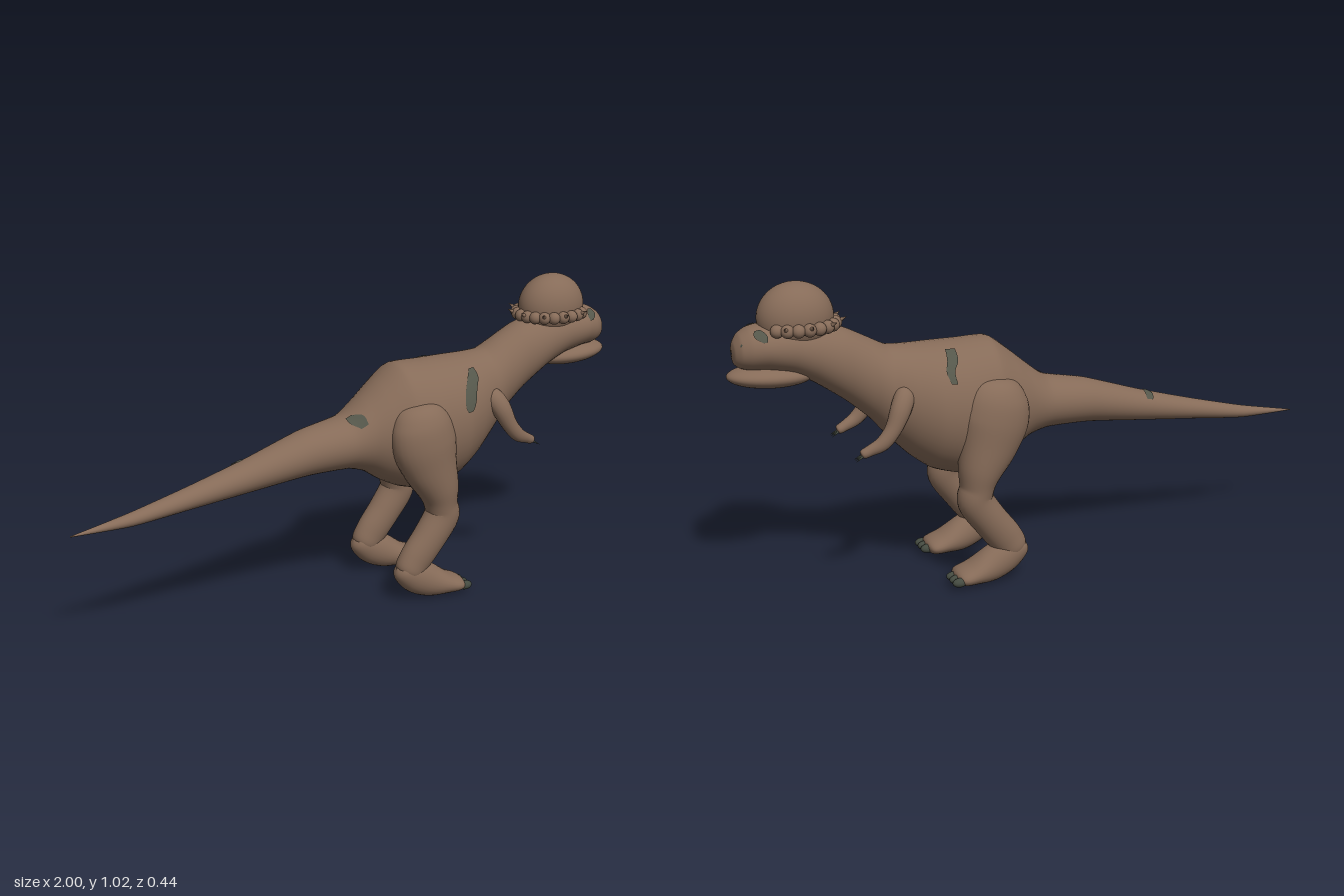
import * as THREE from 'three';

const skin = new THREE.MeshStandardMaterial({ color: 0x866b58 });
skin.name = 'brownSkin';
const marking = new THREE.MeshStandardMaterial({ color: 0x54564a, side: THREE.DoubleSide });
marking.name = 'darkGreenMarking';
const horn = new THREE.MeshStandardMaterial({ color: 0x444a40 });
horn.name = 'darkClaw';

// Smooth sampler over rows of up to five numbers
function sampler(rows, tension = 0.5) {
  const curve = (i) => new THREE.CatmullRomCurve3(
    rows.map((r) => new THREE.Vector3(r[i] ?? 0, r[i + 1] ?? 0, r[i + 2] ?? 0)), false, 'catmullrom', tension);
  const a = curve(0), b = curve(3);
  return (t) => {
    const p = a.getPoint(t), q = b.getPoint(t);
    return [p.x, p.y, p.z, q.x, q.y];
  };
}

// Surface from a grid of points; rings wrap around when closed
function gridGeometry(rows, closed) {
  const n = rows[0].length, index = [];
  for (let i = 0; i < rows.length - 1; i++) {
    for (let j = 0; j < (closed ? n : n - 1); j++) {
      const a = i * n + j, b = i * n + (j + 1) % n;
      index.push(a, b, b + n, a, b + n, a + n);
    }
  }
  const g = new THREE.BufferGeometry().setFromPoints(rows.flat());
  g.setIndex(index);
  g.computeVertexNormals();
  return g;
}

// Elliptical tube; rows are [x, y, z, radius in the xy plane, radius in z]
function loft(rows, { upright = false, tension = 0.5, sides = 28, steps = 6 } = {}) {
  const at = sampler(rows, tension), count = (rows.length - 1) * steps, rings = [];
  for (let i = 0; i <= count; i++) {
    const t = i / count, [x, y, z, r, rz] = at(t);
    const p = at(Math.max(0, t - 0.02)), q = at(Math.min(1, t + 0.02));
    const dir = upright ? new THREE.Vector2(1, 0) : new THREE.Vector2(q[0] - p[0], q[1] - p[1]).normalize();
    rings.push(Array.from({ length: sides }, (_, j) => {
      const a = j / sides * Math.PI * 2, c = Math.max(r, 0.0005) * Math.cos(a);
      return new THREE.Vector3(x - dir.y * c, y + dir.x * c, z + Math.max(rz, 0.0005) * Math.sin(a));
    }));
  }
  return gridGeometry(rings, true);
}

function add(parent, name, geometry, material, position = [0, 0, 0], scale = [1, 1, 1]) {
  const m = new THREE.Mesh(geometry, material);
  m.name = name;
  m.position.set(...position);
  m.scale.set(...scale);
  parent.add(m);
  return m;
}

// Tail, trunk, neck and head: [x, top, bottom, half width]
const bodyRows = [
  [-1, 0.415, 0.412, 0.001], [-0.8, 0.453, 0.41, 0.025], [-0.6, 0.502, 0.43, 0.04],
  [-0.4, 0.557, 0.45, 0.057], [-0.2, 0.62, 0.47, 0.08], [-0.05, 0.65, 0.47, 0.098],
  [0.02, 0.70, 0.45, 0.115], [0.08, 0.75, 0.41, 0.14], [0.15, 0.80, 0.375, 0.165],
  [0.25, 0.80, 0.352, 0.178], [0.35, 0.80, 0.38, 0.172], [0.42, 0.80, 0.43, 0.148],
  [0.49, 0.805, 0.50, 0.118], [0.55, 0.835, 0.57, 0.10], [0.63, 0.875, 0.64, 0.092],
  [0.73, 0.90, 0.71, 0.092], [0.80, 0.91, 0.745, 0.093], [0.88, 0.91, 0.765, 0.092],
  [0.925, 0.902, 0.768, 0.08], [0.955, 0.884, 0.776, 0.062], [0.972, 0.858, 0.79, 0.036],
  [0.977, 0.83, 0.82, 0.001],
].map(([x, top, bottom, w]) => [x, (top + bottom) / 2, 0, (top - bottom) / 2, w]);

const bodyAt = sampler(bodyRows, 0.3);

// Point just above the body at x, with the angle measured from the back towards +z
function bodyPoint(x, angle) {
  let lo = 0, hi = 1;
  for (let i = 0; i < 24; i++) {
    const mid = (lo + hi) / 2;
    if (bodyAt(mid)[0] < x) lo = mid; else hi = mid;
  }
  const [, y, , r, rz] = bodyAt(lo);
  return new THREE.Vector3(x, y + (r + 0.004) * Math.cos(angle), (rz + 0.004) * Math.sin(angle));
}

// Skin marking; rows are [angle, centre x, half length]
function addMarking(parent, name, rows) {
  const at = sampler(rows), grid = [];
  for (let i = 0; i <= 20; i++) {
    const [a, x, w] = at(i / 20);
    grid.push([-1, -0.5, 0, 0.5, 1].map((k) => bodyPoint(x + k * w, a)));
  }
  add(parent, name, gridGeometry(grid, false), marking);
}

function addLeg(parent, s) {
  const leg = new THREE.Group();
  leg.name = s > 0 ? 'nearLeg' : 'farLeg';
  // Thigh and shin
  add(leg, 'legLimb', loft([
    [0.165, 0.70, s * 0.11, 0.001, 0.001], [0.167, 0.68, s * 0.118, 0.07, 0.055],
    [0.172, 0.63, s * 0.132, 0.105, 0.074], [0.178, 0.56, s * 0.14, 0.115, 0.078],
    [0.20, 0.48, s * 0.142, 0.098, 0.075], [0.23, 0.40, s * 0.143, 0.074, 0.071],
    [0.243, 0.34, s * 0.146, 0.056, 0.06], [0.247, 0.295, s * 0.147, 0.06, 0.057],
    [0.20, 0.225, s * 0.147, 0.058, 0.053], [0.145, 0.155, s * 0.146, 0.057, 0.047],
    [0.115, 0.11, s * 0.146, 0.045, 0.04], [0.105, 0.095, s * 0.146, 0.001, 0.001],
  ]), skin);
  // Foot
  add(leg, 'foot', loft([
    [0.075, 0.135, s * 0.146, 0.001, 0.001], [0.09, 0.125, s * 0.146, 0.035, 0.035],
    [0.14, 0.10, s * 0.146, 0.058, 0.047], [0.20, 0.07, s * 0.146, 0.056, 0.056],
    [0.26, 0.052, s * 0.147, 0.038, 0.063], [0.31, 0.043, s * 0.147, 0.024, 0.057],
    [0.325, 0.04, s * 0.147, 0.001, 0.001],
  ]), skin);
  // Toe claws
  for (const z of [0.129, 0.16, 0.19]) {
    add(leg, 'toeClaw', new THREE.SphereGeometry(1, 16, 12), horn, [0.32, 0.04, s * z], [0.025, 0.015, 0.016]);
  }
  parent.add(leg);
}

function addArm(parent, s) {
  const arm = new THREE.Group();
  arm.name = s > 0 ? 'nearArm' : 'farArm';
  add(arm, 'armLimb', loft([
    [0.445, 0.70, s * 0.095, 0.001, 0.001], [0.46, 0.675, s * 0.11, 0.03, 0.03],
    [0.485, 0.63, s * 0.132, 0.034, 0.032], [0.515, 0.57, s * 0.143, 0.027, 0.026],
    [0.55, 0.528, s * 0.145, 0.024, 0.022], [0.59, 0.507, s * 0.139, 0.018, 0.018],
    [0.615, 0.496, s * 0.136, 0.014, 0.015], [0.62, 0.494, s * 0.136, 0.001, 0.001],
  ], { sides: 18 }), skin);
  // Finger claws
  for (const k of [-1, 0, 1]) {
    const claw = add(arm, 'fingerClaw', new THREE.ConeGeometry(0.006, 0.04, 10), horn, [0.624, 0.487, s * 0.136 + k * 0.009]);
    claw.quaternion.setFromUnitVectors(new THREE.Vector3(0, 1, 0), new THREE.Vector3(0.85, -0.5, k * 0.3).normalize());
  }
  parent.add(arm);
}

export function createModel() {
  const model = new THREE.Group();
  model.name = 'domeHeadedDinosaur';
  add(model, 'body', loft(bodyRows, { upright: true, tension: 0.3, sides: 40 }), skin);

  // Lower jaw and skull dome
  const ball = new THREE.SphereGeometry(1, 40, 28);
  add(model, 'lowerJaw', ball, skin, [0.86, 0.743, 0], [0.137, 0.037, 0.078]).rotation.z = 0.05;
  add(model, 'skullDome', ball, skin, [0.775, 0.92, 0], [0.12, 0.11, 0.094]);

  // Knobs and short spikes around the dome, open at the face
  const knob = new THREE.SphereGeometry(0.021, 16, 12), spike = new THREE.ConeGeometry(0.011, 0.034, 10);
  for (let i = 0; i < 17; i++) {
    const a = (0.26 + 1.48 * i / 16) * Math.PI;
    const x = 0.77 + 0.118 * Math.cos(a), z = 0.1 * Math.sin(a);
    add(model, 'frillKnob', knob, skin, [x, 0.897, z]);
    if (i % 2) {
      const dir = new THREE.Vector3(Math.cos(a), 0.5, Math.sin(a)).normalize();
      const m = add(model, 'frillSpike', spike, skin, [x + dir.x * 0.023, 0.897 + dir.y * 0.023, z + dir.z * 0.023]);
      m.quaternion.setFromUnitVectors(new THREE.Vector3(0, 1, 0), dir);
    }
  }

  for (const s of [1, -1]) {
    addLeg(model, s);
    addArm(model, s);
    add(model, 'eye', new THREE.SphereGeometry(1, 16, 12), horn, [0.95, 0.853, s * 0.048], [0.009, 0.011, 0.008]);
    addMarking(model, 'cheekMarking', [[s * 0.55, 0.905, 0.008], [s * 0.75, 0.902, 0.017], [s * 0.95, 0.897, 0.017], [s * 1.15, 0.89, 0.006]]);
  }

  // Markings on flanks and tail
  addMarking(model, 'nearFlankMarking', [[0.58, 0.39, 0.01], [0.8, 0.378, 0.026], [1.0, 0.358, 0.026], [1.2, 0.346, 0.022], [1.3, 0.342, 0.01]]);
  addMarking(model, 'farFlankMarking', [[-0.4, 0.30, 0.016], [-0.65, 0.305, 0.018], [-0.85, 0.32, 0.014], [-1.05, 0.315, 0.01]]);
  addMarking(model, 'hipMarking', [[0.3, -0.045, 0.01], [0.6, -0.03, 0.022], [0.95, -0.015, 0.012]]);
  addMarking(model, 'tailMarking', [[-0.05, -0.42, 0.009], [-0.45, -0.425, 0.015], [-0.95, -0.42, 0.012]]);
  return model;
}
